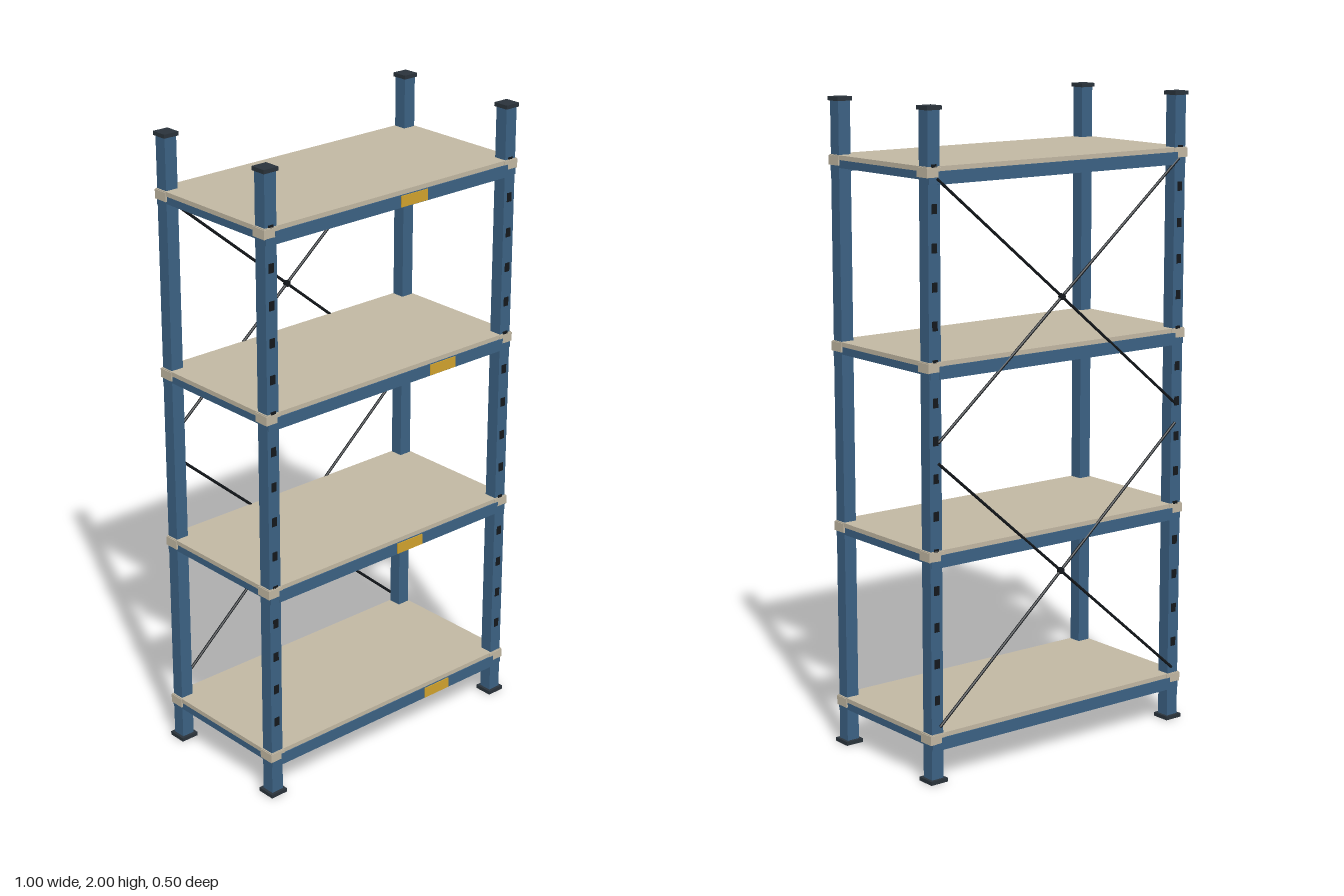
import * as THREE from 'three';

const mat = (name, color) => {
  const m = new THREE.MeshStandardMaterial({ color });
  m.name = name;
  return m;
};

export function createModel() {
  const steel = mat('blue steel', 0x3c6284);
  const board = mat('beige board', 0xc2b8a3);
  const plastic = mat('dark plastic', 0x2a333b);
  const black = mat('black', 0x14181c);
  const yellow = mat('yellow label', 0xd2a32e);

  const root = new THREE.Group();
  root.name = 'shelvingRack';

  const box = (name, m, w, h, d, x, y, z, parent = root) => {
    const mesh = new THREE.Mesh(new THREE.BoxGeometry(w, h, d), m);
    mesh.name = name;
    mesh.position.set(x, y, z);
    parent.add(mesh);
    return mesh;
  };

  const PX = 0.468, PZ = 0.22, POST = 0.042;
  const levels = [0.153, 0.712, 1.271, 1.83]; // top of each deck

  // Four posts with feet, caps and a row of slots on the outward face
  for (const sx of [-1, 1]) for (const sz of [-1, 1]) {
    const post = new THREE.Group();
    post.name = 'post';
    post.position.set(sx * PX, 0, sz * PZ);
    root.add(post);
    box('upright', steel, POST, 1.98, POST, 0, 1.0, 0, post);
    box('footPlate', plastic, 0.06, 0.012, 0.06, 0, 0.006, 0, post);
    box('topCap', plastic, 0.052, 0.012, 0.052, 0, 1.994, 0, post);
    for (let i = 0; i < 15; i++) {
      box('slot', black, 0.018, 0.028, 0.004, 0, 0.257 + i * 0.1118, sz * POST / 2, post);
    }
  }

  // Shelves: deck, front and back beams, side beams, corner clips, label
  levels.forEach((top, i) => {
    const shelf = new THREE.Group();
    shelf.name = 'shelf';
    shelf.position.y = top;
    root.add(shelf);
    box('deck', board, 0.986, 0.014, 0.486, 0, -0.007, 0, shelf);
    for (const s of [-1, 1]) {
      box('longBeam', steel, 0.91, 0.038, 0.026, 0, -0.033, s * 0.233, shelf);
      box('sideBeam', steel, 0.026, 0.024, 0.4, s * 0.477, -0.026, 0, shelf);
      for (const t of [-1, 1]) {
        box('cornerClip', board, 0.054, 0.028, 0.05, s * 0.468, -0.017, t * 0.22, shelf);
        box('beamBracket', steel, 0.04, 0.02, 0.046, s * 0.468, -0.04, t * 0.222, shelf);
      }
    }
    box('label', yellow, 0.104, 0.034, 0.004, i % 2 ? 0.07 : 0.197, -0.033, 0.247, shelf);
  });

  // Crossed rods on the back, each pair pinned by a hub
  const BZ = -0.244;
  const rod = (y0, y1) => {
    const a = new THREE.Vector3(-0.46, y0, BZ), b = new THREE.Vector3(0.46, y1, BZ);
    const dir = b.clone().sub(a);
    const mesh = new THREE.Mesh(new THREE.CylinderGeometry(0.0045, 0.0045, dir.length(), 8), black);
    mesh.name = 'braceRod';
    mesh.position.copy(a).add(b).multiplyScalar(0.5);
    mesh.quaternion.setFromUnitVectors(new THREE.Vector3(0, 1, 0), dir.normalize());
    root.add(mesh);
  };
  for (const [lo, hi] of [[0.174, 0.972], [1.034, 1.796]]) {
    rod(lo, hi);
    rod(hi, lo);
    const hub = new THREE.Mesh(new THREE.CylinderGeometry(0.01, 0.01, 0.012, 12), black);
    hub.name = 'braceHub';
    hub.rotation.x = Math.PI / 2;
    hub.position.set(0, (lo + hi) / 2, BZ);
    root.add(hub);
  }

  return root;
}
